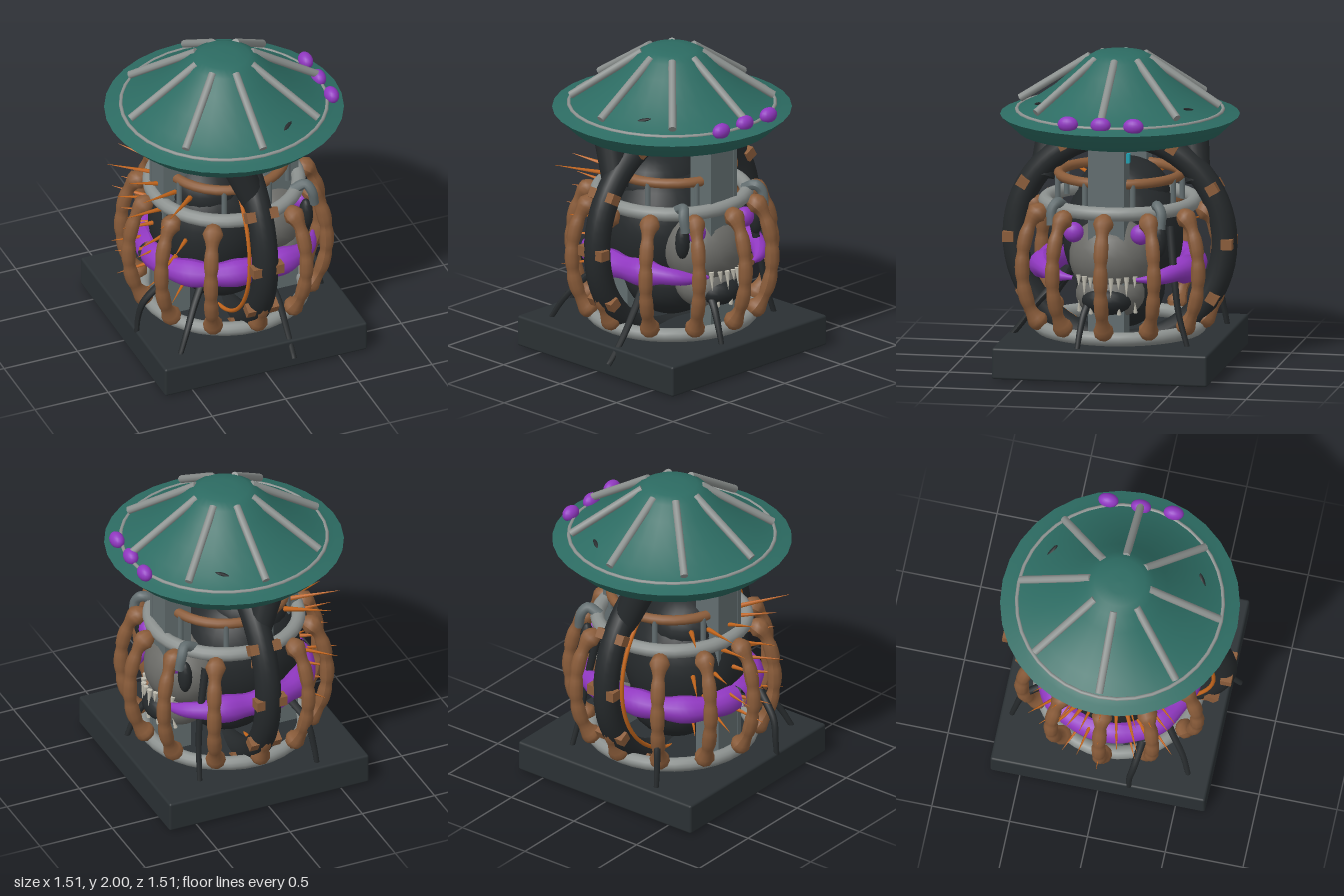
import * as THREE from 'three';
import { RoundedBoxGeometry } from 'three/addons/geometries/RoundedBoxGeometry.js';

const mat = (color, extra = {}) => new THREE.MeshStandardMaterial({ color, ...extra });
const M = {
  teal: mat(0x2c6b62, { side: THREE.DoubleSide }), brown: mat(0x8a5c3a), orange: mat(0xc4661c),
  purple: mat(0x9038c0), dark: mat(0x25292b), base: mat(0x2a3033), grey: mat(0x8c918f),
  post: mat(0x626d6f), skull: mat(0x6b6b67), tooth: mat(0xc4c1b4), cyan: mat(0x1fa0b0),
};
const V = (x, y, z) => new THREE.Vector3(x, y, z);

export function createModel() {
  const root = new THREE.Group();

  const add = (name, geo, material, pos = [0, 0, 0], parent = root) => {
    const m = new THREE.Mesh(geo, material);
    m.name = name;
    m.position.set(...pos);
    parent.add(m);
    return m;
  };
  const ellipsoid = (name, material, pos, size, seg = 24) => {
    const m = add(name, new THREE.SphereGeometry(1, seg, Math.round(seg * 0.67)), material, pos);
    m.scale.set(...size);
    return m;
  };
  // Straight round bar between two points
  const bar = (name, a, b, ra, rb, material, parent = root, seg = 10) => {
    const d = b.clone().sub(a);
    const m = add(name, new THREE.CylinderGeometry(rb, ra, d.length(), seg), material, [0, 0, 0], parent);
    m.position.copy(a).add(b).multiplyScalar(0.5);
    m.quaternion.setFromUnitVectors(V(0, 1, 0), d.normalize());
    return m;
  };
  // Tube whose radius follows a rule along its length
  const limb = (name, pts, radius, material, steps = 24, sides = 10, parent = root) => {
    const curve = new THREE.CatmullRomCurve3(pts);
    const geo = new THREE.TubeGeometry(curve, steps, 1, sides);
    const p = geo.attributes.position, v = V(0, 0, 0);
    for (let i = 0; i <= steps; i++) {
      const c = curve.getPointAt(i / steps), r = radius(i / steps);
      for (let j = 0; j <= sides; j++) {
        const k = i * (sides + 1) + j;
        v.fromBufferAttribute(p, k).sub(c).multiplyScalar(r).add(c);
        p.setXYZ(k, v.x, v.y, v.z);
      }
    }
    geo.computeVertexNormals();
    return add(name, geo, material, [0, 0, 0], parent);
  };
  const ring = (name, y, R, tube, material, seg = 36) => {
    const m = add(name, new THREE.TorusGeometry(R, tube, 12, seg), material, [0, y, 0]);
    m.rotation.x = Math.PI / 2;
    return m;
  };

  // Plinth
  add('base', new RoundedBoxGeometry(1.38, 0.2, 1.38, 2, 0.015), M.base, [0, 0.103, 0]);
  add('baseDisc', new THREE.CylinderGeometry(0.4, 0.4, 0.06, 32), M.dark, [0, 0.03, 0]);

  // Posts carrying the roof, with raised edges
  for (const s of [-1, 1]) {
    add('post', new THREE.BoxGeometry(0.17, 1.48, 0.2), M.post, [s * 0.37, 0.74, 0]);
    for (const z of [-0.1, 0.1])
      add('postEdge', new THREE.BoxGeometry(0.18, 1.48, 0.03), M.post, [s * 0.37, 0.74, z]);
  }
  add('postLight', new THREE.BoxGeometry(0.04, 0.06, 0.02), M.cyan, [0.37, 1.39, -0.125]);

  // Roof: concave top and shallow bowl underneath
  const lathe = (pts) => new THREE.LatheGeometry(pts.map(([r, y]) => new THREE.Vector2(r, y)), 32);
  add('roofTop', lathe([[0.755, 1.6], [0.7, 1.615], [0.65, 1.63], [0.55, 1.68], [0.42, 1.77],
    [0.3, 1.875], [0.22, 1.955], [0.16, 1.99], [0.08, 1.998], [0, 2]]), M.teal);
  add('roofUnderside', lathe([[0, 1.39], [0.2, 1.395], [0.42, 1.435], [0.64, 1.49], [0.755, 1.6]]), M.teal);
  ring('roofRing', 1.628, 0.65, 0.012, M.grey);
  for (let i = 0; i < 8; i++) {
    const a = i * Math.PI / 4, s = Math.sin(a), c = Math.cos(a);
    bar('roofRod', V(s * 0.64, 1.675, c * 0.64), V(s * 0.19, 1.965, c * 0.19), 0.025, 0.025, M.grey);
  }
  for (const z of [-0.21, 0, 0.21]) ellipsoid('roofBulb', M.purple, [0.645, 1.65, z], [0.045, 0.05, 0.065], 18);
  for (const s of [-1, 1]) {
    const slit = ellipsoid('roofSlit', M.dark, [0.21, 1.68, s * 0.49], [0.07, 0.012, 0.016], 10);
    slit.rotation.set(0, s * 0.5, 0.3);
  }

  // Cage rings
  ring('lowerRing', 0.25, 0.505, 0.045, M.grey);
  ring('upperRing', 1.045, 0.47, 0.045, M.grey);
  ring('innerRing', 1.22, 0.385, 0.032, M.brown);
  for (let i = 0; i < 8; i++) {
    const a = (i + 0.5) * Math.PI / 4, s = Math.sin(a) * 0.4, c = Math.cos(a) * 0.4;
    bar('ringStrut', V(s, 1.04, c), V(s, 1.22, c), 0.018, 0.018, M.post);
  }

  // Twelve jointed ribs with knuckled ends
  const ribRadius = (t) => {
    const pinch = 0.008 * Math.pow(Math.abs(Math.cos(t * 5 * Math.PI)), 6);
    const knuckle = (c) => 0.02 * Math.exp(-Math.pow((t - c) / 0.035, 2));
    const tip = t < 0.03 || t > 0.97 ? 0.6 : 1;
    return (0.046 - pinch + knuckle(0.1) + knuckle(0.91)) * tip;
  };
  for (let i = 0; i < 12; i++) {
    const rib = new THREE.Group();
    rib.name = 'rib';
    rib.rotation.y = i * Math.PI / 6;
    limb('ribBone', [V(0.47, 1.03, 0), V(0.56, 0.99, 0), V(0.625, 0.86, 0), V(0.652, 0.65, 0),
      V(0.625, 0.46, 0), V(0.565, 0.33, 0), V(0.49, 0.25, 0)], ribRadius, M.brown, 40, 10, rib);
    root.add(rib);
  }

  // Large upright hoop with cable and clamps
  const hoop = new THREE.Group();
  hoop.name = 'hoop';
  hoop.position.y = 0.8;
  hoop.rotation.y = Math.PI / 2;
  root.add(hoop);
  add('hoopPipe', new THREE.TorusGeometry(0.67, 0.083, 16, 64), M.dark, [0, 0, 0], hoop);
  add('hoopCable', new THREE.TorusGeometry(0.62, 0.013, 8, 64), M.orange, [0, 0, -0.085], hoop);
  add('hoopCable', new THREE.TorusGeometry(0.62, 0.013, 8, 64), M.orange, [0, 0, 0.085], hoop).visible = false;
  for (let i = 0; i < 12; i++) {
    if (i === 3 || i === 9) continue;
    const a = i * Math.PI / 6;
    for (const x of [-0.075, 0.075]) {
      const c = add('clamp', new THREE.BoxGeometry(0.07, 0.065, 0.06), M.brown,
        [Math.cos(a) * 0.7, Math.sin(a) * 0.7, x], hoop);
      c.rotation.z = a;
    }
    const strap = add('clampStrap', new THREE.BoxGeometry(0.06, 0.04, 0.14), M.brown,
      [Math.cos(a) * 0.705, Math.sin(a) * 0.705, 0], hoop);
    strap.rotation.z = a;
  }
  for (const s of [-1, 1])
    bar('pipeStub', V(0, 1.18, s * 0.5), V(-0.1, 1.46, s * 0.45), 0.08, 0.1, M.dark, root, 16);

  // Creature: hunched body, skull, jaw
  ellipsoid('body', M.dark, [-0.1, 0.8, 0], [0.39, 0.43, 0.38], 28);
  ellipsoid('hump', M.dark, [-0.14, 1.08, 0], [0.27, 0.22, 0.29]);
  ellipsoid('belly', M.dark, [-0.02, 0.48, 0], [0.3, 0.25, 0.28]);
  ellipsoid('skull', M.skull, [0.28, 0.74, 0], [0.25, 0.25, 0.27], 20);
  ellipsoid('jaw', M.skull, [0.32, 0.51, 0], [0.2, 0.16, 0.22], 20);
  ellipsoid('mouth', M.dark, [0.42, 0.49, 0], [0.13, 0.1, 0.165], 18);
  for (const s of [-1, 1]) ellipsoid('eye', M.purple, [0.43, 0.915, s * 0.215], [0.055, 0.065, 0.065], 18);
  for (let i = 0; i < 9; i++) {
    const z = (i - 4) * 0.045, x = 0.54 - z * z * 3.2, len = 0.07 + (i % 2) * 0.05;
    bar('upperTooth', V(x, 0.645, z), V(x + 0.01, 0.645 - len, z), 0.018, 0.001, M.tooth, root, 6);
    if (i % 2 === 0) bar('lowerTooth', V(x - 0.02, 0.41, z), V(x, 0.48, z), 0.014, 0.001, M.tooth, root, 6);
  }

  for (const s of [-1, 1]) {
    // Purple arms wrapping the body, ending in small claws
    limb('arm', [V(-0.5, 0.63, 0), V(-0.44, 0.63, s * 0.24), V(-0.22, 0.64, s * 0.42), V(0.1, 0.65, s * 0.46),
      V(0.34, 0.66, s * 0.42), V(0.47, 0.64, s * 0.3), V(0.52, 0.64, s * 0.2)],
    (t) => (0.082 + 0.008 * Math.sin(t * 30)) * (t > 0.72 ? 1 - (t - 0.72) * 3 : 1), M.purple, 40, 12);
    // Grey hooked shoulder gripping the upper ring
    limb('hook', [V(0.34, 1.06, s * 0.3), V(0.42, 1.1, s * 0.32), V(0.45, 1.06, s * 0.35), V(0.47, 0.96, s * 0.35)],
      (t) => 0.036 - t * 0.006, M.post, 16);
    ellipsoid('hand', M.dark, [0.42, 0.88, s * 0.33], [0.045, 0.11, 0.05], 12);
  }

  // Orange spines fanned over the back
  for (let row = 0; row < 5; row++) {
    const y = 0.56 + row * 0.14, n = row % 2 ? 4 : 5;
    for (let i = 0; i < n; i++) {
      const a = (i - (n - 1) / 2) * 0.36, c = Math.cos(a), s = Math.sin(a);
      const r = 0.36 - Math.pow(row - 2, 2) * 0.01, out = 0.57 + 0.04 * ((i + row) % 3);
      bar('spine', V(-0.08 - c * r, y, s * r), V(-0.08 - c * out, y + (row - 1.5) * 0.025, s * out * 1.1),
        0.018, 0.001, M.orange, root, 6);
    }
  }

  // Thin dark legs reaching out between the ribs
  const legs = [
    [V(0.12, 0.55, 0.36), V(0.16, 0.4, 0.5), V(0.17, 0.24, 0.62), V(0.17, 0.1, 0.74)],
    [V(-0.3, 0.55, 0.35), V(-0.38, 0.45, 0.42), V(-0.46, 0.33, 0.5), V(-0.53, 0.19, 0.55)],
    [V(-0.5, 0.58, 0.25), V(-0.64, 0.42, 0.22), V(-0.67, 0.3, 0.2), V(-0.68, 0.19, 0.2)],
    [V(0.42, 0.5, 0.1), V(0.5, 0.42, 0.13), V(0.56, 0.3, 0.15), V(0.6, 0.19, 0.16)],
    [V(0.3, 0.95, -0.38), V(0.36, 0.6, -0.42), V(0.38, 0.4, -0.45), V(0.4, 0.19, -0.51)],
    [V(-0.25, 0.6, -0.4), V(-0.32, 0.48, -0.55), V(-0.35, 0.3, -0.6), V(-0.36, 0.19, -0.62)],
  ];
  for (const pts of legs) limb('leg', pts, (t) => 0.027 - t * 0.01, M.dark, 16, 8);

  return root;
}
